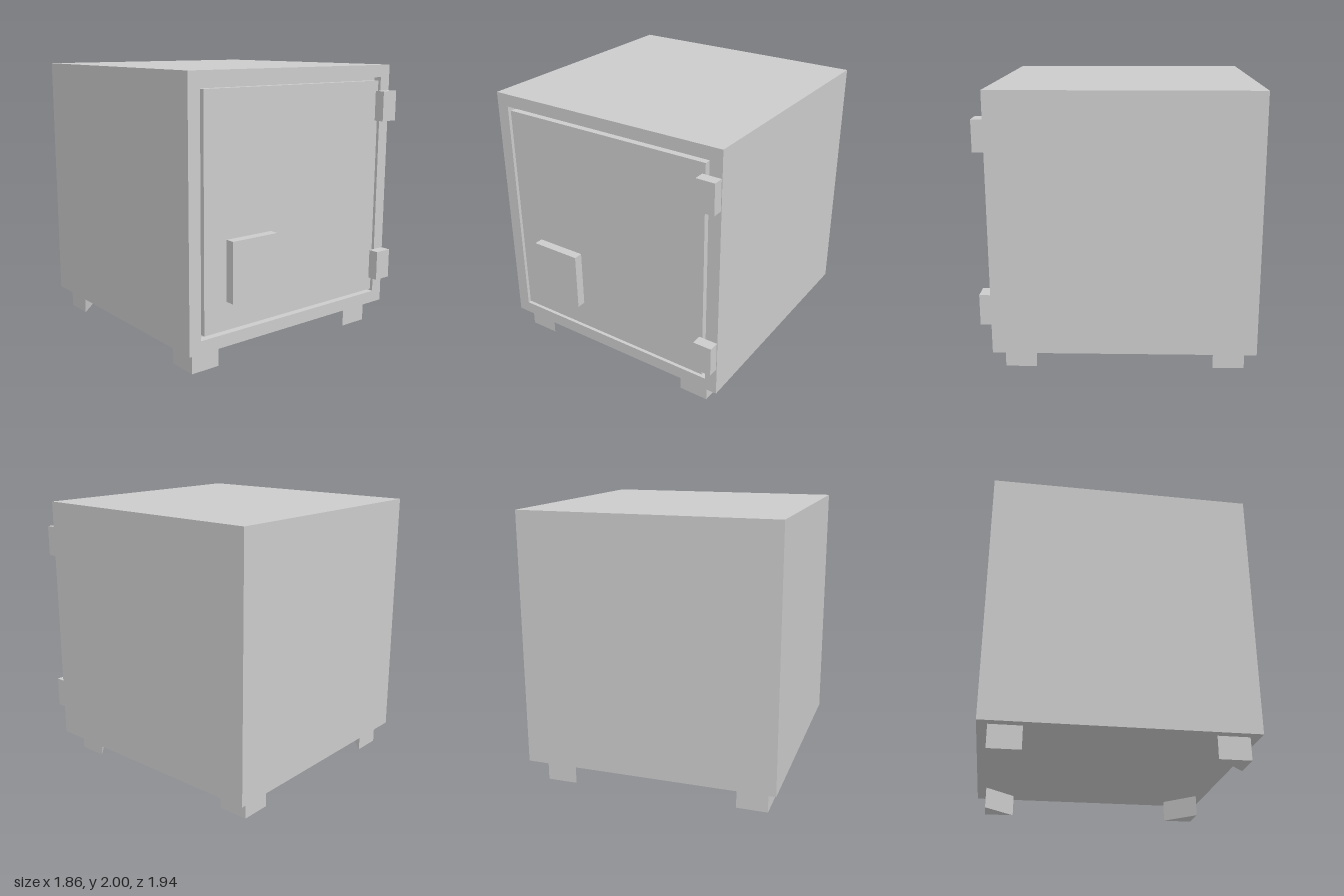
import * as THREE from 'three';

const material = new THREE.MeshStandardMaterial({ color: 0xcccccc, flatShading: true });

const SIDE = 1.85, HALF = SIDE / 2;   // body footprint
const BOTTOM = 0.16, TOP = 2;         // body height range
const MID = (BOTTOM + TOP) / 2;
const GROOVE = 0.06;                  // depth of the gap around the door

function addMesh(parent, name, geometry) {
  const mesh = new THREE.Mesh(geometry, material);
  mesh.name = name;
  parent.add(mesh);
  return mesh;
}

// Box given by its minimum and maximum corners
function addBox(parent, name, [x0, y0, z0], [x1, y1, z1]) {
  const mesh = addMesh(parent, name, new THREE.BoxGeometry(x1 - x0, y1 - y0, z1 - z0));
  mesh.position.set((x0 + x1) / 2, (y0 + y1) / 2, (z0 + z1) / 2);
  return mesh;
}

// Outline of a rectangle centred on the origin
function rectangle(target, halfWidth, halfHeight) {
  target.moveTo(-halfWidth, -halfHeight);
  target.lineTo(halfWidth, -halfHeight);
  target.lineTo(halfWidth, halfHeight);
  target.lineTo(-halfWidth, halfHeight);
  target.closePath();
  return target;
}

// Triangular foot, its right angle towards the outer corner (sx, sz)
function footGeometry(sx, sz, leg, height) {
  const points = [[0, 0], [-sx * leg, 0], [0, sz * leg]].map(([x, y]) => new THREE.Vector2(x, y));
  const geometry = new THREE.ExtrudeGeometry(new THREE.Shape(points), { depth: height, bevelEnabled: false });
  return geometry.rotateX(-Math.PI / 2);
}

export function createModel() {
  const safe = new THREE.Group();
  safe.name = 'safe';
  const front = HALF;

  // Body: solid core with a frame around the door opening
  addBox(safe, 'body', [-HALF, BOTTOM, -HALF], [HALF, TOP, front - GROOVE]);
  const frameShape = rectangle(new THREE.Shape(), HALF, (TOP - BOTTOM) / 2);
  frameShape.holes.push(rectangle(new THREE.Path(), 0.832, 0.83));
  const frame = addMesh(safe, 'doorFrame',
    new THREE.ExtrudeGeometry(frameShape, { depth: GROOVE, bevelEnabled: false }));
  frame.position.set(0, MID, front - GROOVE);

  // Door, flush with the frame
  addBox(safe, 'door', [-0.806, MID - 0.805, front - GROOVE], [0.806, MID + 0.805, front]);

  // Lock plate
  addBox(safe, 'lockPlate', [-0.622, 0.475, front], [-0.237, 0.9, 0.992]);

  // Hinges across the gap on the model's left
  for (const [name, y] of [['upperHinge', 1.59], ['lowerHinge', 0.37]]) {
    addBox(safe, name, [0.782, y, front], [0.92, y + 0.22, 1.002]);
  }

  // Four wedge feet under the corners
  for (const sx of [-1, 1]) {
    for (const sz of [-1, 1]) {
      const name = (sz > 0 ? 'front' : 'back') + (sx > 0 ? 'Left' : 'Right') + 'Foot';
      const foot = addMesh(safe, name, footGeometry(sx, sz, 0.224, BOTTOM));
      foot.position.set(sx > 0 ? 0.807 : -0.858, 0, sz * 0.856);
    }
  }

  // The whole safe stands very slightly turned
  safe.position.set(-0.0025, 0, -0.037);
  safe.rotation.y = -0.0055;
  const model = new THREE.Group();
  model.name = 'model';
  model.add(safe);
  return model;
}
